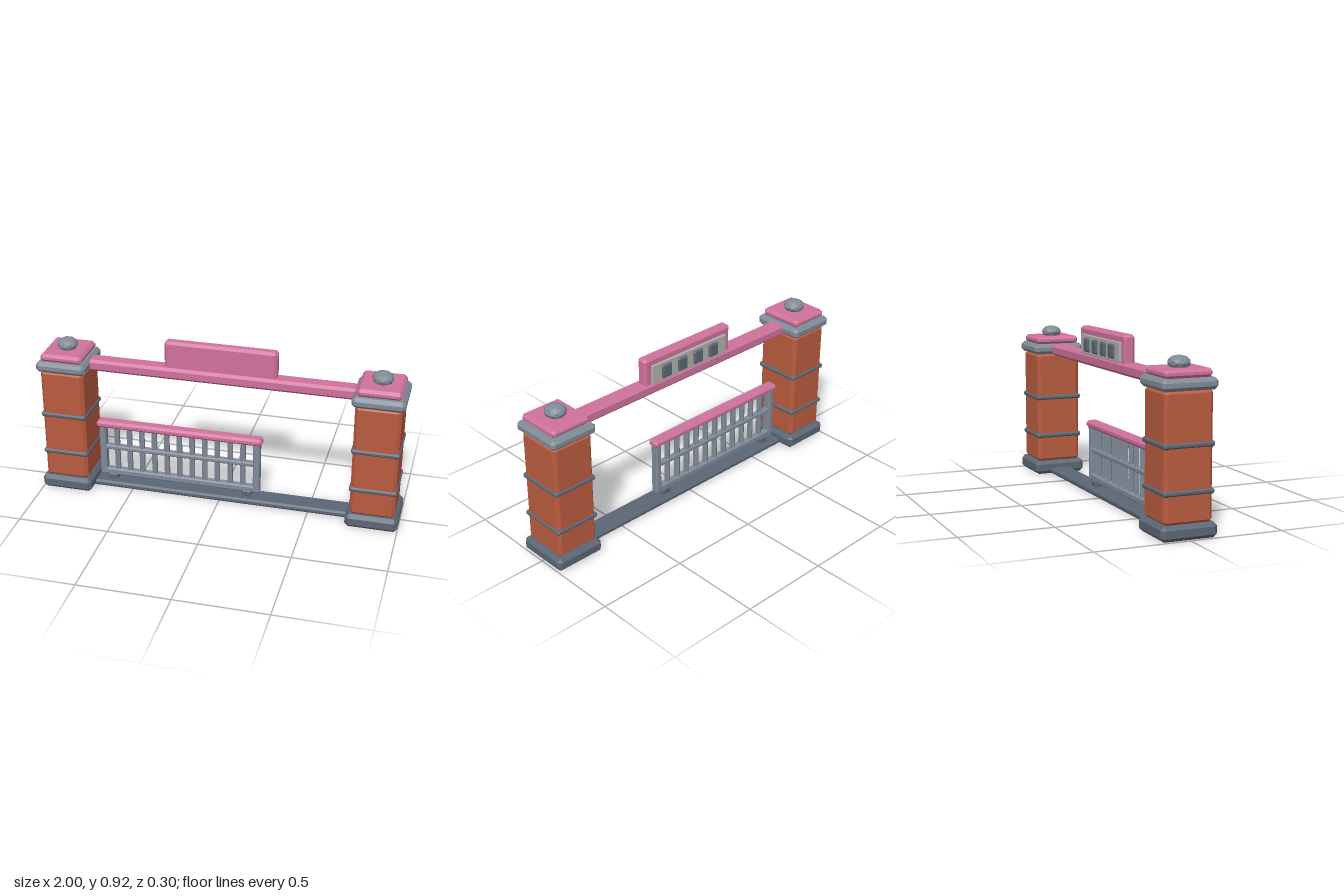
import * as THREE from 'three';
import { ConvexGeometry } from 'three/addons/geometries/ConvexGeometry.js';

const mat = (name, color) => {
  const m = new THREE.MeshStandardMaterial({ color, flatShading: true });
  m.name = name;
  return m;
};

// Box with every edge cut by a chamfer c
function chamferBox(w, h, d, c) {
  const pts = [];
  for (const sx of [-1, 1]) for (const sy of [-1, 1]) for (const sz of [-1, 1]) {
    for (let axis = 0; axis < 3; axis++) {
      const half = [w / 2, h / 2, d / 2].map((v, i) => (i === axis ? v : v - c));
      pts.push(new THREE.Vector3(sx * half[0], sy * half[1], sz * half[2]));
    }
  }
  return new ConvexGeometry(pts);
}

export function createModel() {
  const brick = mat('brick', 0xbb5c3f);
  const pink = mat('pink', 0xcf729c);
  const darkStone = mat('dark stone', 0x5c6675);
  const metal = mat('grey metal', 0x808b98);
  const plaster = mat('pale plate', 0xb0b0ac);
  const root = new THREE.Group();
  root.name = 'gateway';

  const add = (parent, name, geometry, material, x = 0, y = 0, z = 0) => {
    const m = new THREE.Mesh(geometry, material);
    m.name = name;
    m.position.set(x, y, z);
    parent.add(m);
    return m;
  };
  // Chamfered block given by its x, y and z ranges
  const block = (parent, name, material, [x0, x1], [y0, y1], [z0, z1], c) =>
    add(parent, name, chamferBox(x1 - x0, y1 - y0, z1 - z0, c), material,
      (x0 + x1) / 2, (y0 + y1) / 2, (z0 + z1) / 2);

  // Pillars
  for (const side of [-1, 1]) {
    const p = new THREE.Group();
    p.name = side > 0 ? 'leftPillar' : 'rightPillar';
    p.position.x = side * 0.858;
    root.add(p);
    const layer = (name, m, hx, hz, y0, y1, c) =>
      block(p, name, m, [-hx, hx], [y0, y1], [-hz, hz], c);
    layer('base', darkStone, 0.142, 0.15, 0, 0.077, 0.019);
    layer('shaft', brick, 0.121, 0.129, 0.072, 0.722, 0.018);
    layer('lowerBand', darkStone, 0.128, 0.136, 0.215, 0.244, 0.009);
    layer('upperBand', darkStone, 0.128, 0.136, 0.443, 0.472, 0.009);
    layer('capital', metal, 0.139, 0.148, 0.717, 0.776, 0.018);
    layer('capPlate', pink, 0.117, 0.126, 0.774, 0.818, 0.015);
    const ball = add(p, 'finial', new THREE.IcosahedronGeometry(0.058, 1), metal, 0, 0.839, 0);
    ball.scale.y = 0.64;
  }

  // Ground track and overhead beam
  block(root, 'track', darkStone, [-0.735, 0.735], [0, 0.035], [-0.06, 0.06], 0.01);
  block(root, 'beam', pink, [-0.735, 0.735], [0.71, 0.775], [-0.045, 0.045], 0.014);

  // Sign board with tiles on the back
  const sign = new THREE.Group();
  sign.name = 'sign';
  root.add(sign);
  block(sign, 'board', pink, [-0.307, 0.307], [0.76, 0.921], [-0.037, 0.024], 0.014);
  block(sign, 'backPlate', plaster, [-0.265, 0.265], [0.772, 0.88], [-0.049, -0.03], 0.003);
  for (let i = 0; i < 4; i++) {
    const x = -0.168 + i * 0.112;
    block(sign, 'tile', darkStone, [x - 0.033, x + 0.033], [0.787, 0.863], [-0.061, -0.042], 0.007);
  }

  // Sliding gate
  const gate = new THREE.Group();
  gate.name = 'gate';
  root.add(gate);
  block(gate, 'topRail', pink, [-0.708, 0.233], [0.358, 0.398], [-0.033, 0.033], 0.012);
  for (const x of [-0.677, 0.203]) {
    block(gate, 'stile', metal, [x - 0.019, x + 0.019], [0.06, 0.37], [-0.023, 0.023], 0.007);
  }
  block(gate, 'bottomRail', metal, [-0.69, 0.216], [0.06, 0.098], [-0.021, 0.021], 0.007);
  block(gate, 'middleRail', metal, [-0.67, 0.2], [0.22, 0.246], [-0.019, 0.019], 0.006);
  const bar = new THREE.CylinderGeometry(0.016, 0.016, 0.29, 6);
  for (let i = 0; i < 11; i++) {
    add(gate, 'bar', bar, metal, -0.598 + i * 0.0722, 0.225, 0);
  }
  for (const x of [-0.623, 0.15]) {
    block(gate, 'roller', darkStone, [x - 0.028, x + 0.028], [0.03, 0.07], [-0.025, 0.025], 0.008);
  }
  return root;
}
